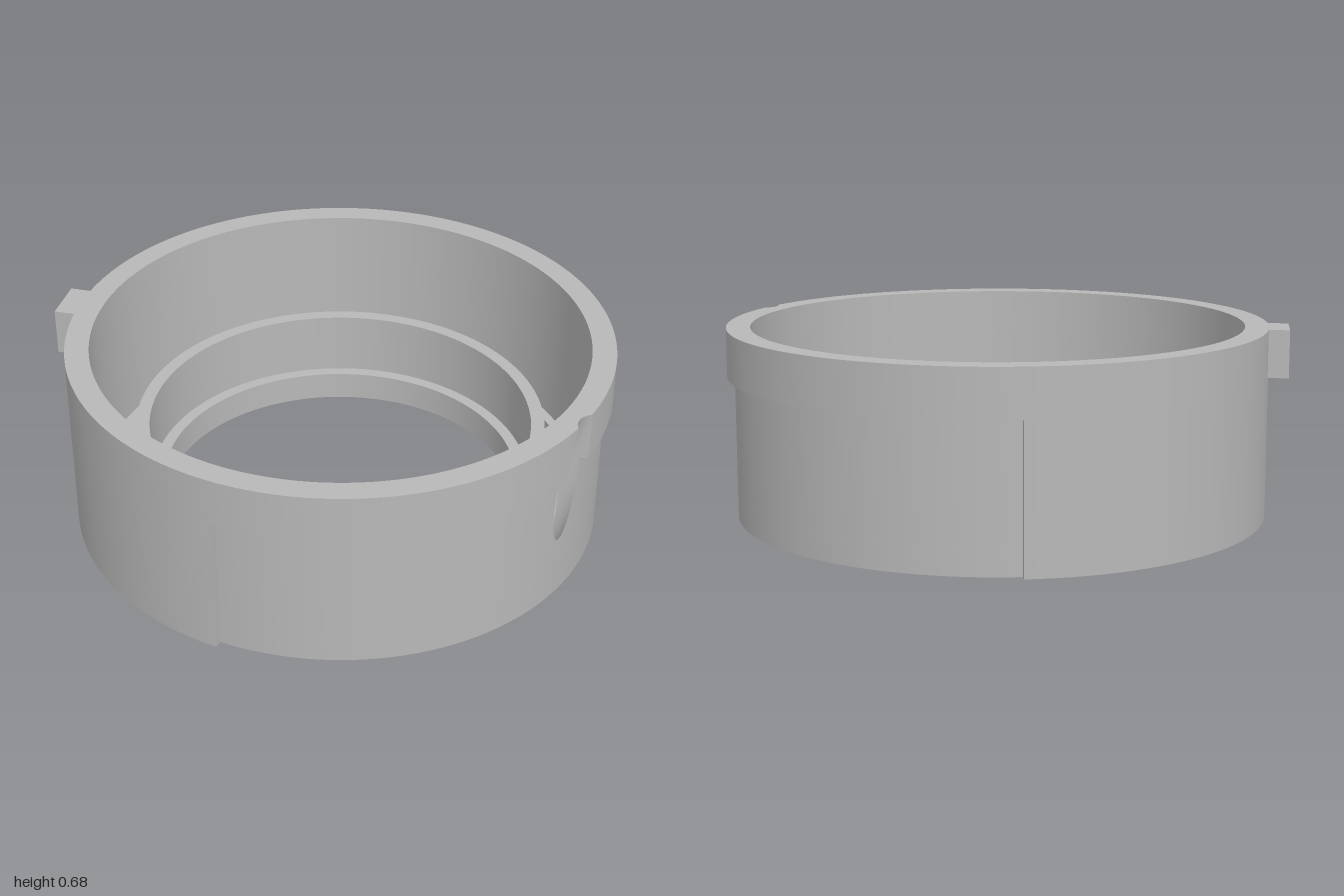
import * as THREE from 'three';
import { toCreasedNormals } from 'three/addons/utils/BufferGeometryUtils.js';

const CX = 0.035, TOP = 0.68, STEP = 0.51, FLOOR = 0.108;
const R_OUT = 0.965, R_RECESS = 0.938, R_IN = 0.88, R_SLOT = 0.845;
const deg = Math.PI / 180;
const CUT_A = 12 * deg, CUT_B = 34 * deg, RECESS = 101.5 * deg; // sector with the bore, end of the recess

// Ring segment between two radii, angles (x towards z) and heights
function ringSector(r0, r1, a0, a1, y0, y1) {
  const s = new THREE.Shape();
  s.absarc(0, 0, r1, a0, a1, false);
  s.absarc(0, 0, r0, a1, a0, true);
  const g = new THREE.ExtrudeGeometry(s, {
    depth: y1 - y0, bevelEnabled: false, curveSegments: Math.max(8, Math.ceil((a1 - a0) / (2 * deg))),
  });
  g.rotateX(Math.PI / 2).translate(0, y1, 0);
  return toCreasedNormals(g, 0.5);
}

// Slanted bore: centre at a height, and the point at angle psi from its outward side
const BORE_R = 0.066;
const boreCentre = (y) => {
  const t = (TOP - y) / 0.465;
  return [0.95 - 0.16 * t, 0.345 + 0.015 * t];
};

// Horizontal outline of one half of the drilled wall (side -1 or +1) at height y
function cutSection(y, rIn, rOut, side) {
  const [cx, cz] = boreCentre(y);
  const d = Math.hypot(cx, cz), mid = Math.atan2(cz, cx);
  const psi = (r) => Math.acos(THREE.MathUtils.clamp((r * r - d * d - BORE_R ** 2) / (2 * d * BORE_R), -1, 1));
  const bore = (p) => [cx + BORE_R * Math.cos(mid + side * p), cz + BORE_R * Math.sin(mid + side * p)];
  const angleOf = (p) => { const b = bore(p); return Math.atan2(b[1], b[0]); };
  const pOut = psi(rOut), pIn = psi(rIn), end = side < 0 ? CUT_A : CUT_B;
  const N = 10, K = 16, pts = [];
  const arc = (r, a, b) => {
    for (let i = 0; i <= N; i++) {
      const t = a + (b - a) * i / N;
      pts.push([r * Math.cos(t), r * Math.sin(t)]);
    }
  };
  arc(rOut, end, angleOf(pOut));
  for (let i = 0; i <= K; i++) pts.push(bore(pOut + (pIn - pOut) * i / K));
  arc(rIn, angleOf(pIn), end);
  return pts;
}

// Loft of the outlines from bottom to top
function cutWall(side) {
  const rows = [];
  const bands = [[0, FLOOR, R_SLOT, R_RECESS, 8], [FLOOR, STEP, R_IN, R_RECESS, 32], [STEP, TOP, R_IN, R_OUT, 12]];
  for (const [y0, y1, rIn, rOut, n] of bands) {
    for (let i = 0; i <= n; i++) {
      const y = y0 + (y1 - y0) * i / n;
      rows.push(cutSection(y, rIn, rOut, side).map(([x, z]) => [x, y, z]));
    }
  }
  const n = rows[0].length, index = [];
  for (let i = 0; i < rows.length - 1; i++) {
    for (let j = 0; j < n; j++) {
      const k = (j + 1) % n;
      const a = i * n + j, b = i * n + k, c = b + n, d = a + n;
      if (side < 0) index.push(a, d, c, a, c, b);
      else index.push(a, c, d, a, b, c);
    }
  }
  const g = new THREE.BufferGeometry();
  g.setAttribute('position', new THREE.Float32BufferAttribute(rows.flat(2), 3));
  g.setIndex(index);
  return toCreasedNormals(g, 0.5);
}

// Flat end face of the drilled wall
function cutCap(side, up) {
  const pts = up ? cutSection(TOP, R_IN, R_OUT, side) : cutSection(0, R_SLOT, R_RECESS, side);
  const shape = new THREE.Shape(pts.map(([x, z]) => new THREE.Vector2(x, up ? -z : z)));
  return new THREE.ShapeGeometry(shape).rotateX(up ? -Math.PI / 2 : Math.PI / 2).translate(0, up ? TOP : 0, 0);
}

export function createModel() {
  const group = new THREE.Group();
  const grey = new THREE.MeshStandardMaterial({ color: 0xb8b8b8 });
  grey.name = 'grey';
  const body = new THREE.Group();
  body.name = 'ringBody';
  body.position.x = CX;
  group.add(body);
  const add = (name, geometry) => {
    const m = new THREE.Mesh(geometry, grey);
    m.name = name;
    body.add(m);
    return m;
  };

  // Outer wall: full rim on top, recessed on one side below
  const full = 2 * Math.PI;
  add('upperRim', ringSector(R_IN, R_OUT, CUT_B, full + CUT_A, STEP, TOP));
  for (const [y0, y1, rIn] of [[0, FLOOR, R_SLOT], [FLOOR, STEP, R_IN]]) {
    add('thickWall', ringSector(rIn, R_OUT, RECESS, full - RECESS, y0, y1));
    add('recessedWallFront', ringSector(rIn, R_RECESS, CUT_B, RECESS, y0, y1));
    add('recessedWallBack', ringSector(rIn, R_RECESS, full - RECESS, full + CUT_A, y0, y1));
  }

  // Wall sector with the slanted bore
  for (const side of [-1, 1]) {
    add('boredWall', cutWall(side));
    add('boredWallTop', cutCap(side, true));
    add('boredWallBottom', cutCap(side, false));
  }

  // Inner hub with a stepped hole
  const profile = [
    [0.644, 0], [0.745, 0], [0.745, FLOOR], [0.735, FLOOR], [0.735, 0.343],
    [0.687, 0.343], [0.687, FLOOR], [0.644, FLOOR], [0.644, 0],
  ].map(([r, y]) => new THREE.Vector2(r, y));
  add('hub', toCreasedNormals(new THREE.LatheGeometry(profile, 144), 0.5));

  // Four floor spokes between the slots
  for (let i = 0; i < 4; i++) {
    const a = i * Math.PI / 2;
    add('spoke', ringSector(0.742, 0.848, a - 11.2 * deg, a + 11.2 * deg, 0, FLOOR));
  }

  // Locating tab on the rim
  add('tab', new THREE.BoxGeometry(0.09, TOP - STEP, 0.17)).position.set(-0.99, (TOP + STEP) / 2, 0);
  return group;
}
